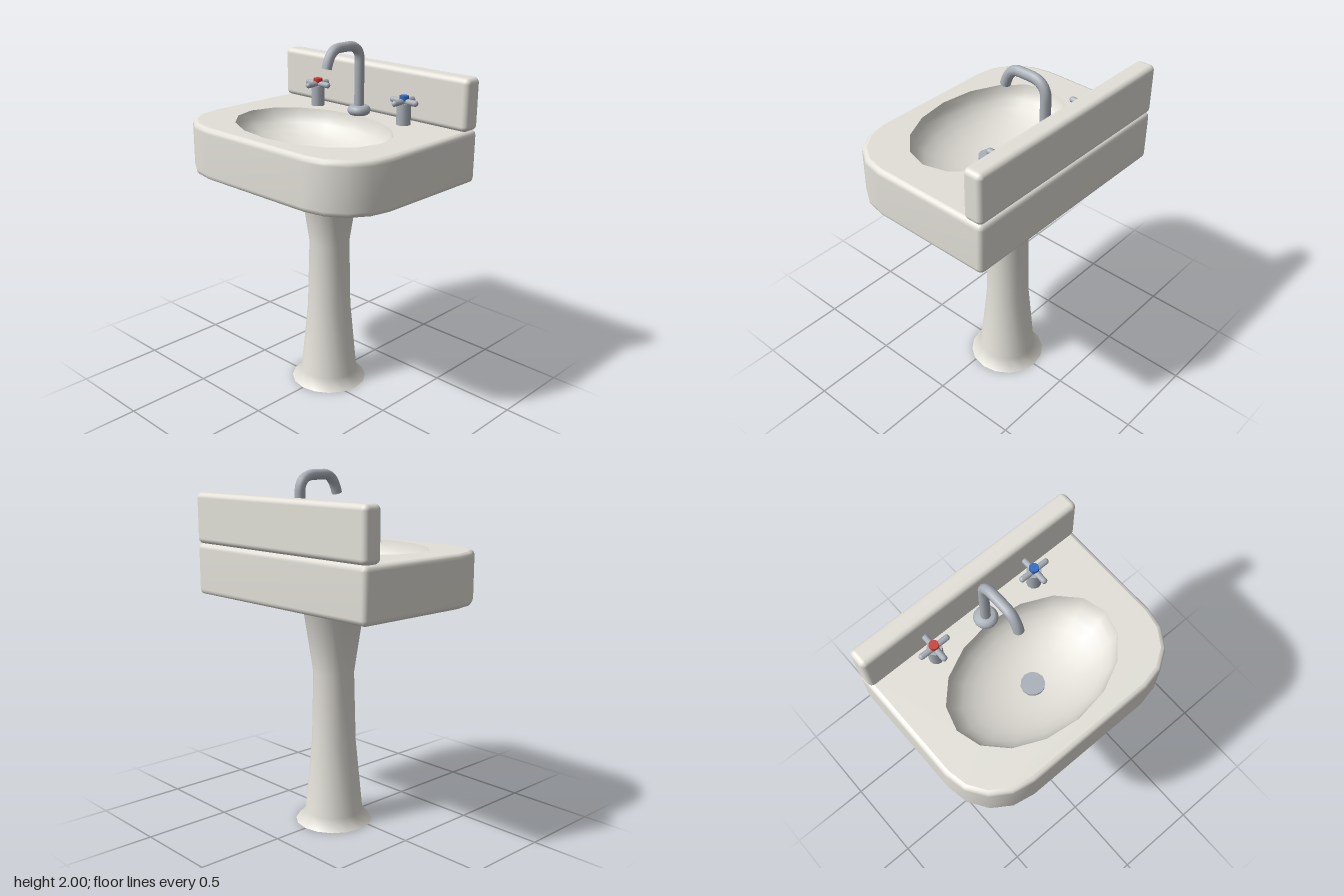
import * as THREE from 'three';
import { RoundedBoxGeometry } from 'three/addons/geometries/RoundedBoxGeometry.js';

const ceramic = new THREE.MeshStandardMaterial({ color: 0xe2e0d8 });
const ceramicThin = new THREE.MeshStandardMaterial({ color: 0xe2e0d8, side: THREE.DoubleSide });
const metal = new THREE.MeshStandardMaterial({ color: 0xaab0b8 });
const red = new THREE.MeshStandardMaterial({ color: 0xc83c32 });
const blue = new THREE.MeshStandardMaterial({ color: 0x2f6cc4 });

const RIM_Y = 1.58, BASE_Y = 1.29, TAP_Z = -0.31;
const BOWL = { z: 0.06, rx: 0.495, rz: 0.345, depth: 0.21, sides: 16 };

function add(parent, name, geometry, material, x = 0, y = 0, z = 0) {
  const mesh = new THREE.Mesh(geometry, material);
  mesh.name = name;
  mesh.position.set(x, y, z);
  parent.add(mesh);
  return mesh;
}

const lathe = (points, sides) =>
  new THREE.LatheGeometry(points.map(([r, y]) => new THREE.Vector2(r, y)), sides);

// Basin plan as (x, z): wide round front corners, tight back corners, pulled in by inset
function outline(inset) {
  const corners = [
    [0.37, 0.19, 0.31, 0], [-0.37, 0.19, 0.31, 1],
    [-0.65, -0.47, 0.03, 2], [0.65, -0.47, 0.03, 3],
  ];
  const points = [];
  for (const [cx, cz, r, quarter] of corners) {
    for (let i = 0; i <= 4; i++) {
      const a = (quarter + i / 4) * Math.PI / 2;
      points.push(new THREE.Vector2(cx + (r - inset) * Math.cos(a), cz + (r - inset) * Math.sin(a)));
    }
  }
  return points;
}

// Side wall of the basin: stacked outlines with softened top and bottom edges
function basinWall() {
  const rings = [[0.026, 0], [0.012, 0.005], [0.003, 0.015], [0, 0.03]];
  const levels = [
    ...rings.map(([d, h]) => [d, BASE_Y + h]),
    ...rings.map(([d, h]) => [d, RIM_Y - h]).reverse(),
  ];
  const positions = [], index = [];
  const n = outline(0).length;
  levels.forEach(([inset, y], k) => {
    outline(inset).forEach((p, j) => {
      positions.push(p.x, y, p.y);
      if (k === levels.length - 1) return;
      const a = k * n + j, b = k * n + (j + 1) % n;
      index.push(a, a + n, b, b, a + n, b + n);
    });
  });
  const g = new THREE.BufferGeometry();
  g.setAttribute('position', new THREE.Float32BufferAttribute(positions, 3));
  g.setIndex(index);
  g.computeVertexNormals();
  return g;
}

function createBasin() {
  const basin = new THREE.Group();
  basin.name = 'basin';
  add(basin, 'basinWall', basinWall(), ceramic);

  const under = new THREE.ShapeGeometry(new THREE.Shape(outline(0.026)));
  add(basin, 'basinUnderside', under.rotateX(Math.PI / 2), ceramic, 0, BASE_Y);

  // Top deck with the oval opening
  const deck = new THREE.Shape(outline(0.026).map(p => new THREE.Vector2(p.x, -p.y)));
  const hole = [];
  for (let i = 0; i < BOWL.sides; i++) {
    const a = i / BOWL.sides * Math.PI * 2;
    hole.push(new THREE.Vector2(BOWL.rx * Math.cos(a), -BOWL.z + BOWL.rz * Math.sin(a)));
  }
  deck.holes.push(new THREE.Path(hole));
  add(basin, 'basinDeck', new THREE.ShapeGeometry(deck).rotateX(-Math.PI / 2), ceramic, 0, RIM_Y);

  // Half ellipsoid bowl, profile running from rim to bottom
  const profile = [];
  for (let i = 0; i <= 8; i++) {
    const a = i / 8 * Math.PI / 2;
    profile.push([i === 8 ? 0 : Math.cos(a), -Math.sin(a)]);
  }
  add(basin, 'bowl', lathe(profile, BOWL.sides), ceramicThin, 0, RIM_Y, BOWL.z)
    .scale.set(BOWL.rx, BOWL.depth, BOWL.rz);
  add(basin, 'drain', new THREE.CylinderGeometry(0.065, 0.065, 0.02, 12), metal,
    0, RIM_Y - BOWL.depth + 0.008, BOWL.z);
  return basin;
}

function createPedestal() {
  const pedestal = new THREE.Group();
  pedestal.name = 'pedestal';
  pedestal.position.z = -0.075;
  const profile = [[0.22, 0], [0.165, 0.06], [0.125, 0.48], [0.115, 0.88], [0.165, 1.215], [0.26, BASE_Y]];
  add(pedestal, 'column', lathe(profile, 16), ceramic);
  add(pedestal, 'foot', new THREE.CircleGeometry(0.22, 16).rotateX(Math.PI / 2), ceramic);
  return pedestal;
}

function createFaucet() {
  const faucet = new THREE.Group();
  faucet.name = 'faucet';
  const collar = [[0.05, 0], [0.062, 0.01], [0.066, 0.025], [0.06, 0.042], [0.045, 0.052], [0, 0.054]];
  add(faucet, 'faucetCollar', lathe(collar, 16), metal, 0, RIM_Y, TAP_Z);

  // Swan neck: riser, bend, level run and down-turned mouth
  const v = (y, z) => new THREE.Vector3(0, y, z);
  const path = new THREE.CurvePath();
  path.add(new THREE.LineCurve3(v(1.6, TAP_Z), v(1.88, TAP_Z)));
  path.add(new THREE.QuadraticBezierCurve3(v(1.88, TAP_Z), v(1.972, TAP_Z), v(1.972, -0.21)));
  path.add(new THREE.LineCurve3(v(1.972, -0.21), v(1.972, -0.14)));
  path.add(new THREE.QuadraticBezierCurve3(v(1.972, -0.14), v(1.972, -0.075), v(1.87, -0.048)));
  add(faucet, 'spout', new THREE.TubeGeometry(path, 40, 0.028, 10), metal);
  const mouth = add(faucet, 'spoutMouth', new THREE.CircleGeometry(0.028, 10), metal, 0, 1.87, -0.048);
  mouth.lookAt(0, 1.87 - 0.102, -0.048 + 0.027);
  return faucet;
}

function createTap(name, x, buttonMaterial) {
  const tap = new THREE.Group();
  tap.name = name;
  tap.position.set(x, RIM_Y, TAP_Z);
  add(tap, 'tapStem', new THREE.CylinderGeometry(0.04, 0.04, 0.115, 12), metal, 0, 0.0575);
  // Crossed handle bars
  const bar = new THREE.CapsuleGeometry(0.017, 0.154, 4, 8);
  add(tap, 'handleBarAcross', bar, metal, 0, 0.126).rotation.z = Math.PI / 2;
  add(tap, 'handleBarAlong', bar, metal, 0, 0.126).rotation.x = Math.PI / 2;
  add(tap, 'tapButton', new THREE.CylinderGeometry(0.026, 0.026, 0.025, 12), buttonMaterial, 0, 0.145);
  return tap;
}

export function createModel() {
  const sink = new THREE.Group();
  sink.name = 'pedestalSink';
  sink.add(createPedestal(), createBasin(), createFaucet());
  sink.add(createTap('hotTap', -0.325, red), createTap('coldTap', 0.325, blue));
  // Upright panel along the back edge
  add(sink, 'backsplash', new RoundedBoxGeometry(1.36, 0.284, 0.114, 3, 0.03), ceramic, 0, 1.721, -0.443);
  return sink;
}
